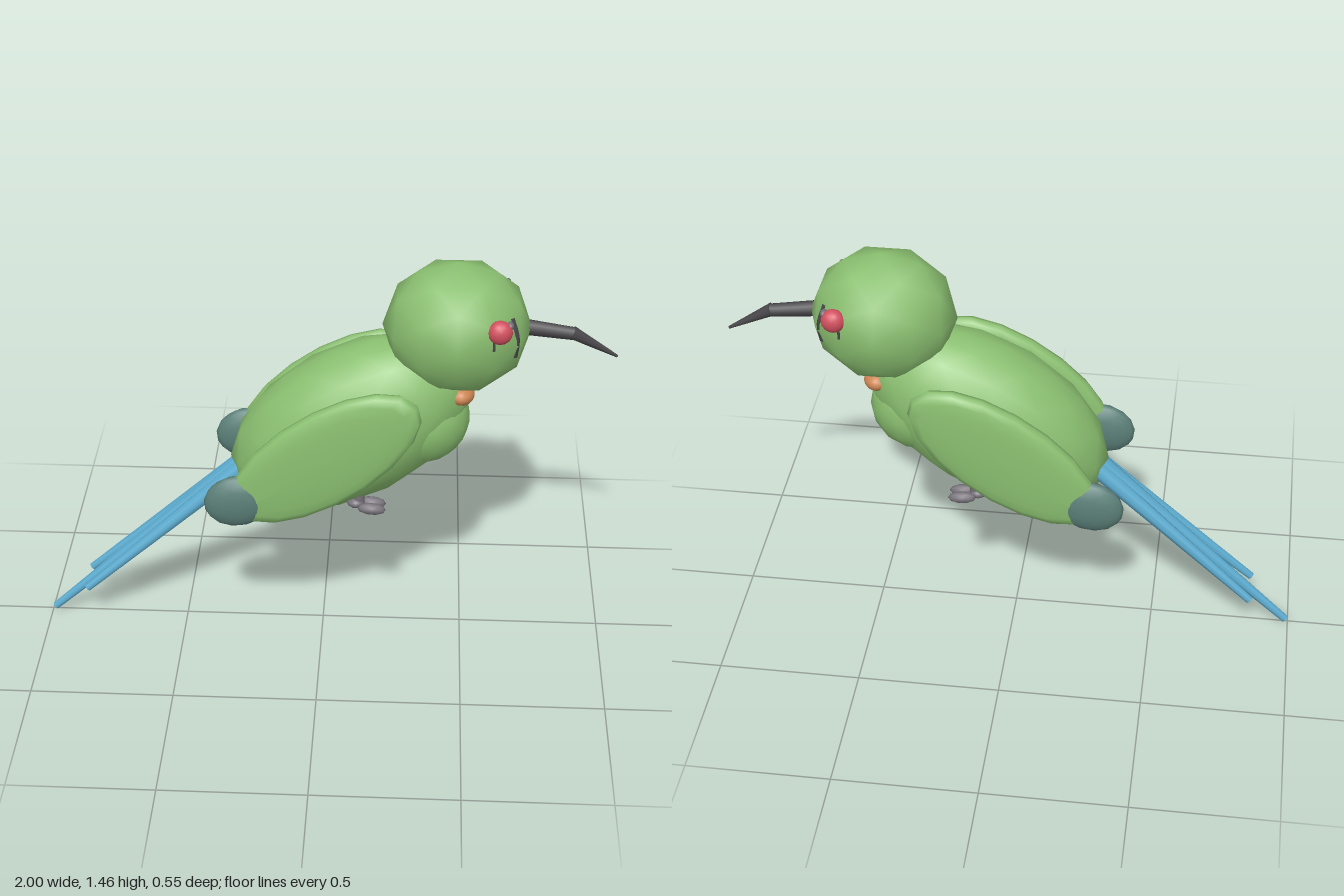
import * as THREE from 'three';

const mat = (name, color) => {
  const m = new THREE.MeshStandardMaterial({ color });
  m.name = name;
  return m;
};

export function createModel() {
  const bird = new THREE.Group();
  bird.name = 'bird';
  const green = mat('leaf green', 0x8abf70);
  const slate = mat('slate teal', 0x5b7f78);
  const blue = mat('tail blue', 0x5eaed2);
  const red = mat('eye red', 0xd2505f);
  const orange = mat('throat orange', 0xcb8450);
  const dark = mat('beak charcoal', 0x474548);
  const grey = mat('foot grey', 0x77727a);
  const V = (p) => new THREE.Vector3(...p);

  const add = (name, geometry, material) => {
    const mesh = new THREE.Mesh(geometry, material);
    mesh.name = name;
    bird.add(mesh);
    return mesh;
  };
  // Low-poly ellipsoid with smooth normals, tilted in the side plane
  const blob = (name, material, pos, radii, tilt = 0, detail = 1) => {
    const mesh = add(name, new THREE.IcosahedronGeometry(1, detail).scale(...radii), material);
    mesh.position.set(...pos);
    mesh.rotation.z = tilt;
    return mesh;
  };
  // Tapered rod from a to b
  const rod = (name, material, a, b, ra, rb, sides = 8) => {
    const start = V(a), dir = V(b).sub(start);
    const mesh = add(name, new THREE.CylinderGeometry(rb, ra, dir.length(), sides), material);
    mesh.position.copy(start).addScaledVector(dir, 0.5);
    mesh.quaternion.setFromUnitVectors(new THREE.Vector3(0, 1, 0), dir.normalize());
    return mesh;
  };
  // Flat-sided wing: an ellipsoid whose thickness stays full almost to the rim
  const wingGeometry = () => {
    const g = new THREE.SphereGeometry(1, 18, 12).rotateX(Math.PI / 2);
    const p = g.attributes.position;
    for (let i = 0; i < p.count; i++) {
      const z = p.getZ(i);
      p.setXYZ(i, p.getX(i) * 0.38, p.getY(i) * 0.17, Math.sign(z) * Math.sqrt(Math.abs(z)) * 0.043);
    }
    g.computeVertexNormals();
    return g;
  };

  // Body, chest and head
  blob('body', green, [0.095, 0.835, 0], [0.465, 0.275, 0.222], 0.56, 2);
  blob('chest', green, [0.335, 0.87, 0], [0.175, 0.17, 0.165], 0, 2);
  blob('head', green, [0.452, 1.222, 0], [0.252, 0.235, 0.217]);

  // Two-part curved beak
  rod('beakBase', dark, [0.66, 1.225, 0], [0.85, 1.2, 0], 0.029, 0.023);
  rod('beakTip', dark, [0.84, 1.205, 0], [0.997, 1.118, 0], 0.024, 0.005);

  // Tail feathers
  rod('tailFeatherMiddle', blue, [-0.28, 0.67, 0], [-0.99, 0.012, 0], 0.036, 0.014);

  for (const s of [1, -1]) {
    const side = s > 0 ? 'Left' : 'Right';
    rod('tailFeather' + side, blue, [-0.28, 0.66, s * 0.026], [-0.855, 0.145, s * 0.068], 0.032, 0.014);

    // Wing with its darker tip
    const wing = add('wing' + side, wingGeometry(), green);
    wing.position.set(0.015, 0.82, s * 0.232);
    wing.rotation.z = 0.61;
    blob('wingTip' + side, slate, [-0.28, 0.645, s * 0.232], [0.122, 0.098, 0.043], 0.3, 2);

    // Eye, pupil and dark face marks
    blob('eye' + side, red, [0.59, 1.287, s * 0.17], [0.042, 0.042, 0.034], 0, 2);
    blob('pupil' + side, grey, [0.622, 1.308, s * 0.16], [0.013, 0.014, 0.018]);
    const mark = new THREE.CatmullRomCurve3([
      V([0.628, 1.31, s * 0.107]), V([0.649, 1.24, s * 0.118]), V([0.645, 1.165, s * 0.105])]);
    add('faceStripe' + side, new THREE.TubeGeometry(mark, 8, 0.01, 6), dark);
    rod('cheekMark' + side, dark, [0.572, 1.222, s * 0.178], [0.572, 1.26, s * 0.176], 0.005, 0.005, 6);

    // Throat patch
    blob('throat' + side, orange, [0.472, 0.99, s * 0.055], [0.048, 0.036, 0.06], 0, 2);

    // Foot: short leg and forward toes
    rod('leg' + side, grey, [0.13, 0.64, s * 0.115], [0.13, 0.575, s * 0.115], 0.02, 0.02);
    blob('heel' + side, grey, [0.12, 0.578, s * 0.115], [0.032, 0.02, 0.03]);
    for (const z of [0.095, 0.138]) {
      blob('toe' + side, grey, [0.175, 0.565, s * z], [0.05, 0.021, 0.021], -0.08);
    }
  }
  return bird;
}
